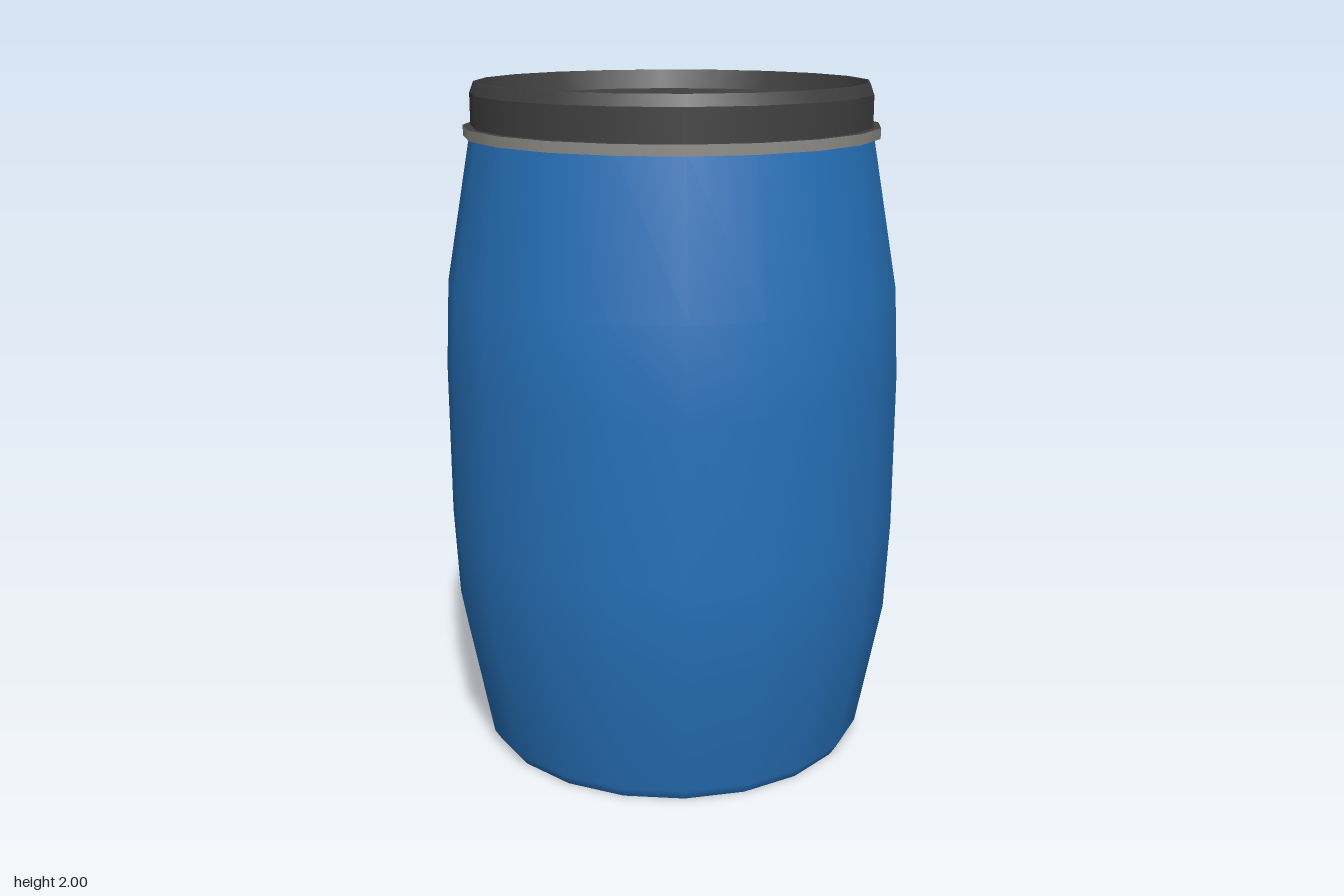
import * as THREE from 'three';

const SIDES = 20;

function material(name, color) {
  const m = new THREE.MeshStandardMaterial({ color });
  m.name = name;
  return m;
}

// One smooth turned surface; the profile runs upward outside, inward on top.
function turned(name, profile, mat) {
  const points = profile.map(([r, y]) => new THREE.Vector2(r, y));
  const mesh = new THREE.Mesh(new THREE.LatheGeometry(points, SIDES), mat);
  mesh.name = name;
  return mesh;
}

export function createModel() {
  const blue = material('blue plastic', 0x2670b8);
  const black = material('dark lid plastic', 0x404040);
  const steel = material('steel band', 0x8f8d88);

  const model = new THREE.Group();
  model.name = 'barrel';

  // Bulging body with a rounded foot and a flat base
  const body = new THREE.Group();
  body.name = 'body';
  body.add(
    turned('bodyWall', [
      [0.57, 0], [0.592, 0.035], [0.667, 0.43], [0.68, 0.7],
      [0.68, 1.16], [0.667, 1.42], [0.59, 1.85],
    ], blue),
    turned('base', [[0, 0], [0.57, 0]], blue),
  );

  // Clamping band around the mouth
  const band = new THREE.Group();
  band.name = 'clampBand';
  band.add(
    turned('bandUnderside', [[0.585, 1.846], [0.608, 1.846]], steel),
    turned('bandWall', [[0.608, 1.846], [0.608, 1.876]], steel),
  );

  // Lid: flange over the band, wall, bevelled rim and sunken top,
  // kept as separate surfaces so the edges stay sharp
  const lid = new THREE.Group();
  lid.name = 'lid';
  const lidProfile = [
    ['lidFlange', [0.608, 1.876], [0.586, 1.876]],
    ['lidWall', [0.586, 1.876], [0.586, 1.968]],
    ['rimBevel', [0.586, 1.968], [0.574, 2]],
    ['rimTop', [0.574, 2], [0.568, 2]],
    ['rimInside', [0.568, 2], [0.55, 1.942]],
    ['lidTop', [0.55, 1.942], [0, 1.942]],
  ];
  for (const [name, from, to] of lidProfile) lid.add(turned(name, [from, to], black));

  model.add(body, band, lid);
  return model;
}
